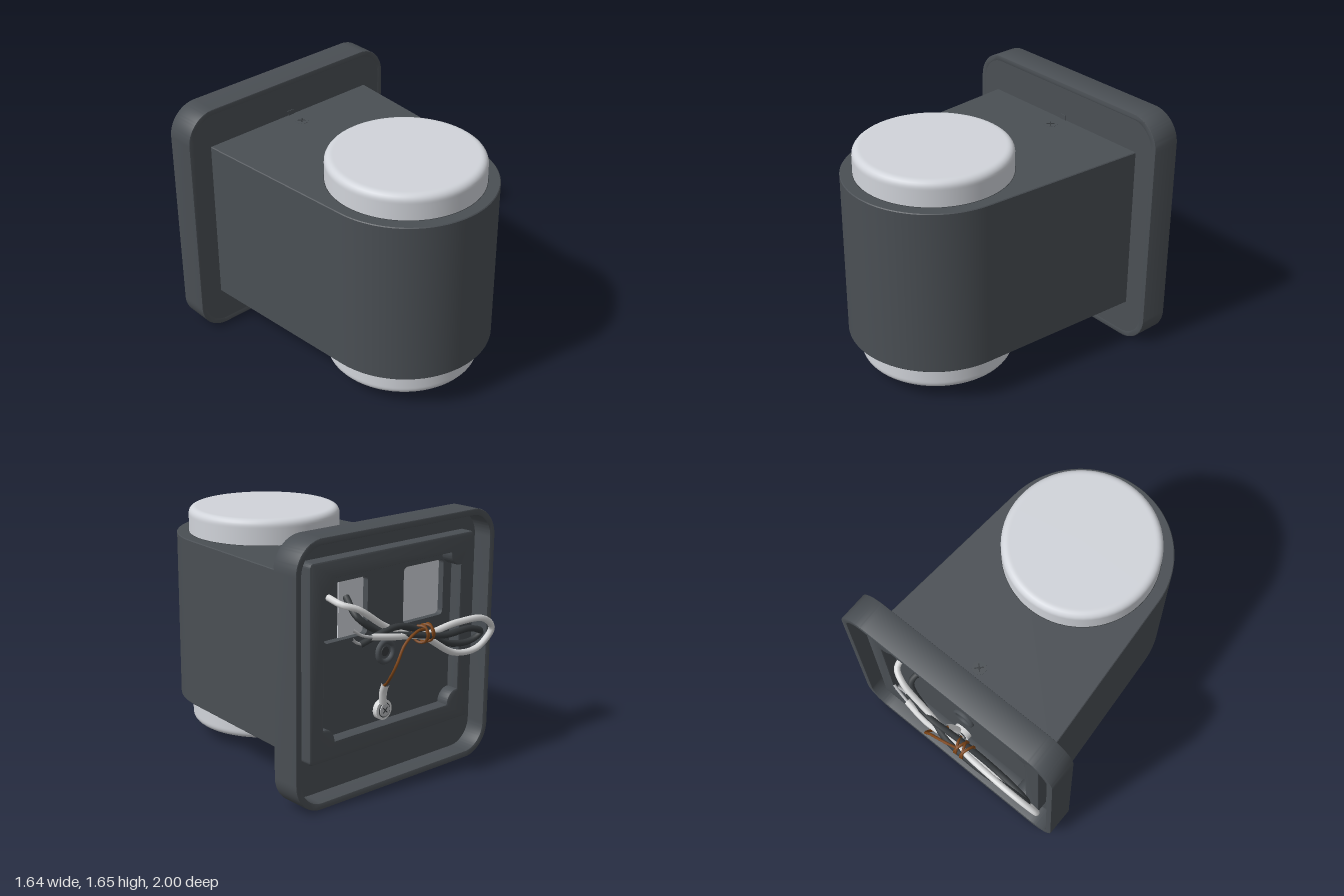
import * as THREE from 'three';
import { toCreasedNormals } from 'three/addons/utils/BufferGeometryUtils.js';

const MID = 0.826; // height of the lamp's centre line

const mat = (name, color) => {
  const m = new THREE.MeshStandardMaterial({ color });
  m.name = name;
  return m;
};

// Rounded rectangle centred on (cx, cy)
function roundRect(w, h, r, cx = 0, cy = MID, Type = THREE.Shape) {
  const s = new Type(), x = w / 2 - r, y = h / 2 - r;
  s.absarc(cx + x, cy + y, r, 0, Math.PI / 2);
  s.absarc(cx - x, cy + y, r, Math.PI / 2, Math.PI);
  s.absarc(cx - x, cy - y, r, Math.PI, Math.PI * 1.5);
  s.absarc(cx + x, cy - y, r, Math.PI * 1.5, Math.PI * 2);
  s.closePath();
  return s;
}

// Extrusion from z0 to z1, with an optional small chamfer kept inside the outline
function extrude(shape, z0, z1, bevel = 0) {
  const g = new THREE.ExtrudeGeometry(shape, {
    depth: z1 - z0 - 2 * bevel, curveSegments: 16, bevelEnabled: bevel > 0,
    bevelThickness: bevel, bevelSize: bevel, bevelOffset: -bevel, bevelSegments: 2,
  });
  g.translate(0, 0, z0 + bevel);
  return toCreasedNormals(g, 0.6);
}

export function createModel() {
  const root = new THREE.Group();
  root.name = 'wallLamp';
  const housing = mat('housing grey', 0x4a4f54);
  const shadowGrey = mat('dark grey', 0x363a3d);
  const diffuser = mat('diffuser white', 0xd1d4da);
  const whiteWire = mat('wire white', 0xd8d9da);
  const brown = mat('wire brown', 0x7d4518);
  const metal = mat('metal', 0xb8babd);

  const add = (name, geo, material, parent = root) => {
    const m = new THREE.Mesh(geo, material);
    m.name = name;
    parent.add(m);
    return m;
  };
  const tube = (name, pts, r, material, parent) => add(name, new THREE.TubeGeometry(
    new THREE.CatmullRomCurve3(pts.map(p => new THREE.Vector3(...p))), pts.length * 8, r, 8), material, parent);

  // Body: tapered sides running into a round nose
  const plan = new THREE.Shape();
  plan.moveTo(-0.66, 0.7);
  plan.lineTo(0.66, 0.7);
  plan.absarc(0, -0.422, 0.578, -0.07, -Math.PI + 0.07, true);
  plan.closePath();
  const bodyGeo = new THREE.ExtrudeGeometry(plan, {
    depth: 1.112, curveSegments: 40, bevelThickness: 0.005, bevelSize: 0.005, bevelOffset: -0.005, bevelSegments: 1,
  });
  bodyGeo.rotateX(-Math.PI / 2);
  bodyGeo.translate(0, 0.279, 0);
  add('body', toCreasedNormals(bodyGeo, 0.5), housing);

  // Diffuser: one drum with rounded rims, showing above and below
  const R = 0.5, f = 0.045, lo = 0.088, hi = 1.562;
  const profile = [[0, lo], [R - f - 0.01, lo]];
  for (let i = 0; i <= 6; i++) {
    const a = (i / 6) * Math.PI / 2;
    profile.push([R - f + f * Math.sin(a), lo + f - f * Math.cos(a)]);
  }
  profile.push([R, lo + f + 0.01]);
  const upper = profile.map(([x, y]) => [x, lo + hi - y]).reverse();
  const drum = new THREE.LatheGeometry([...profile, ...upper].map(p => new THREE.Vector2(...p)), 64);
  add('diffuser', drum, diffuser).position.z = 0.42;
  for (const y of [1.395, 0.275]) {
    const seam = add('diffuserSeam', new THREE.TorusGeometry(0.501, 0.003, 4, 64), shadowGrey);
    seam.rotation.x = Math.PI / 2;
    seam.position.set(0, y, 0.42);
  }

  // Wall plate: deep rim, floor with two windows
  const plate = new THREE.Group();
  plate.name = 'wallPlate';
  root.add(plate);
  const rim = roundRect(1.645, 1.652, 0.2);
  rim.holes.push(roundRect(1.56, 1.567, 0.16, 0, MID, THREE.Path));
  add('plateRim', extrude(rim, -0.88, -0.68, 0.006), housing, plate);
  const floor = roundRect(1.58, 1.587, 0.17);
  for (const s of [-1, 1]) floor.holes.push(roundRect(0.35, 0.36, 0.03, s * 0.325, 1.15, THREE.Path));
  add('plateFloor', extrude(floor, -0.75, -0.6805), housing, plate);
  for (const [x, w] of [[-0.325, 0.35], [0.25, 0.2]]) {
    const panel = add('windowPanel', new THREE.BoxGeometry(w, 0.36, 0.008), diffuser, plate);
    panel.position.set(x, 1.15, -0.705);
  }

  // Raised square frame whose opening has a round boss in each corner
  const frameY = 0.885;
  const frame = roundRect(1.36, 1.23, 0.03, 0, frameY);
  const opening = new THREE.Path(), w = 0.57, h = 0.5, b = 0.09;
  [[1, 1], [-1, 1], [-1, -1], [1, -1]].forEach(([sx, sy], i) => {
    const start = -Math.PI / 2 + (i * Math.PI) / 2;
    opening.absarc(sx * w, frameY + sy * h, b, start, start - Math.PI / 2, true);
  });
  opening.closePath();
  frame.holes.push(opening);
  add('raisedFrame', extrude(frame, -0.835, -0.74, 0.012), housing, plate);

  // Centre boss in the plate floor
  add('centreRing', new THREE.TorusGeometry(0.065, 0.018, 8, 28), housing, plate).position.set(0, MID, -0.755);
  add('centreHole', new THREE.CylinderGeometry(0.03, 0.03, 0.008, 20).rotateX(Math.PI / 2), shadowGrey, plate)
    .position.set(0, MID, -0.752);

  // Catch on the plate above the body
  add('catch', new THREE.BoxGeometry(0.05, 0.035, 0.008), housing, plate).position.set(0, 1.412, -0.68);

  // Cross-head screw, facing +y before it is placed
  function screw(name, r, head) {
    const g = new THREE.Group();
    g.name = name;
    root.add(g);
    add('screwHead', new THREE.CylinderGeometry(r * 0.9, r * 0.95, 0.012, 24), head, g);
    add('screwRing', new THREE.TorusGeometry(r, r * 0.07, 6, 28).rotateX(Math.PI / 2), shadowGrey, g);
    for (const a of [1, -1]) {
      const slot = add('screwSlot', new THREE.BoxGeometry(r * 1.1, 0.006, r * 0.16), shadowGrey, g);
      slot.rotation.y = a * Math.PI / 4;
      slot.position.y = 0.005;
    }
    return g;
  }
  screw('topScrew', 0.05, housing).position.set(0, 1.392, -0.565);

  // Supply wires: out of the window, round a loop and back through the tie
  const wires = new THREE.Group();
  wires.name = 'wires';
  root.add(wires);
  tube('whiteWire', [[0.44, 1.24, -0.72], [0.44, 1.22, -0.84], [0.36, 1.19, -0.89], [0.15, 1.05, -0.91],
    [-0.1, 0.95, -0.94], [-0.4, 0.98, -0.965], [-0.65, 0.96, -0.965], [-0.755, 0.87, -0.945],
    [-0.66, 0.76, -0.92], [-0.46, 0.76, -0.91], [-0.15, 0.93, -0.92], [0.12, 0.99, -0.955],
    [0.3, 1.02, -0.935]], 0.021, whiteWire, wires);
  tube('darkWire', [[0.3, 1.22, -0.72], [0.33, 1.13, -0.85], [0.18, 1.02, -0.9], [-0.05, 0.97, -0.96],
    [-0.3, 0.92, -0.965], [-0.55, 0.91, -0.945], [-0.67, 0.86, -0.93], [-0.6, 0.81, -0.905],
    [-0.4, 0.83, -0.89], [-0.12, 0.98, -0.91], [0.1, 1.04, -0.93], [0.34, 0.97, -0.89]], 0.021, shadowGrey, wires);
  tube('whiteWireTip', [[0.29, 1.018, -0.936], [0.36, 1.04, -0.925], [0.42, 1.08, -0.915]], 0.009, metal, wires);
  tube('darkWireTip', [[0.33, 0.973, -0.892], [0.37, 0.99, -0.89], [0.41, 1.02, -0.9]], 0.009, metal, wires);

  // Brown tie wound round the bundle, its tail running to the earth terminal
  for (let i = 0; i < 4; i++) {
    const ring = add('tieWinding', new THREE.TorusGeometry(0.053, 0.009, 6, 20), brown, wires);
    ring.position.set(-0.19 + i * 0.024, 0.955, -0.935);
    ring.rotation.set(0, Math.PI / 2 + (i % 2 ? 0.4 : -0.3), 0.2);
  }
  tube('earthWire', [[-0.14, 0.99, -0.96], [-0.04, 1.0, -0.985], [0.07, 0.94, -0.992], [0.125, 0.83, -0.985],
    [0.13, 0.74, -0.94], [0.1, 0.68, -0.88], [0.08, 0.64, -0.83]], 0.009, brown, wires);

  // Earth terminal: crimp sleeve, lug and screw
  tube('crimpSleeve', [[0.085, 0.66, -0.85], [0.07, 0.6, -0.815], [0.045, 0.51, -0.785]], 0.024, whiteWire, wires);
  add('earthLug', new THREE.CylinderGeometry(0.065, 0.065, 0.035, 24).rotateX(Math.PI / 2), whiteWire, wires)
    .position.set(0.03, 0.46, -0.767);
  const earth = screw('earthScrew', 0.045, metal);
  earth.rotation.x = -Math.PI / 2;
  earth.position.set(0.03, 0.46, -0.788);

  return root;
}
